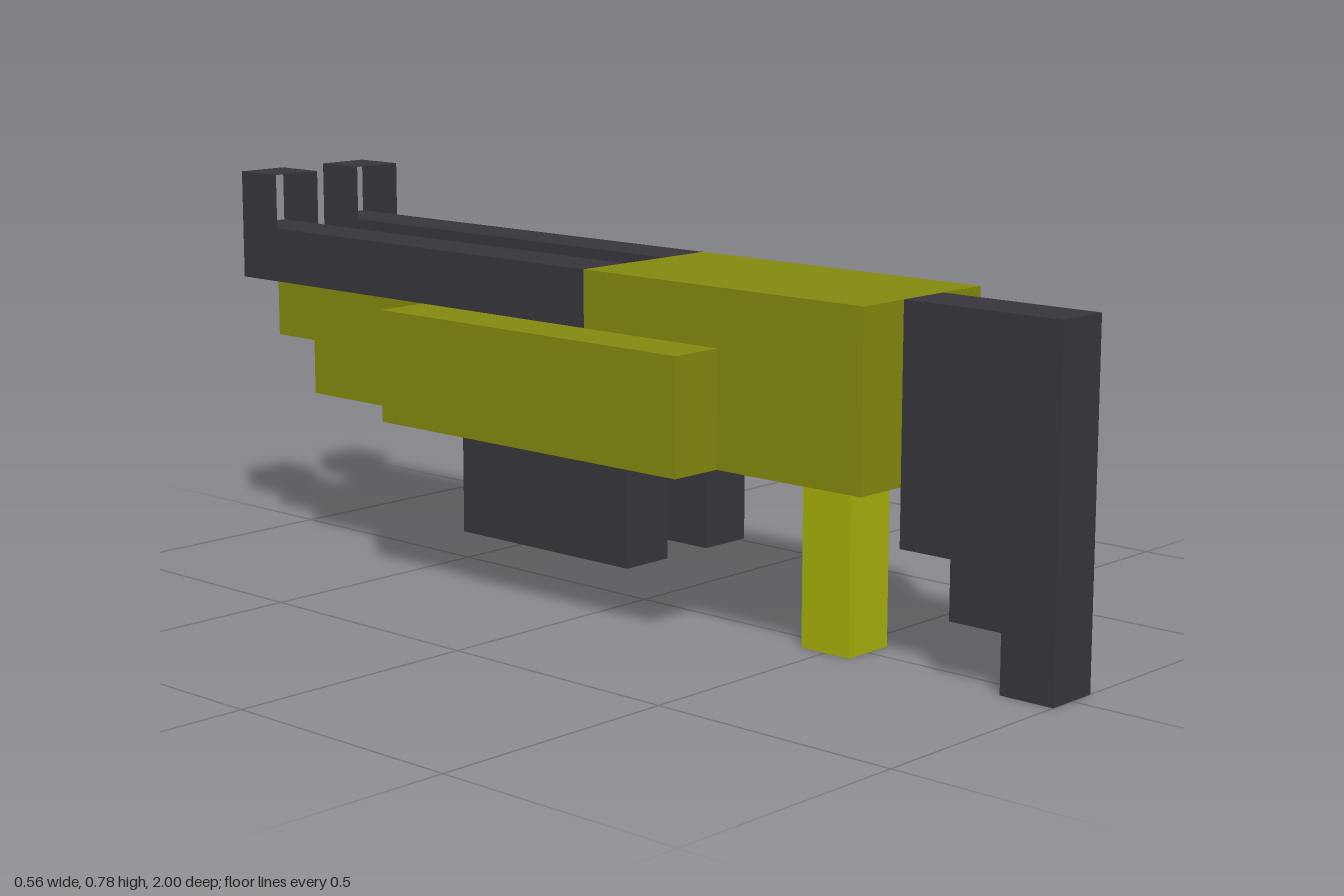
import * as THREE from 'three';

const U = 1 / 9; // one block

const olive = new THREE.MeshStandardMaterial({ color: 0x82880f });
olive.name = 'olive';
const lime = new THREE.MeshStandardMaterial({ color: 0xa5ae0b });
lime.name = 'brightOlive';
const dark = new THREE.MeshStandardMaterial({ color: 0x37353b });
dark.name = 'charcoal';
const darkOpen = dark.clone(); // same charcoal, for the open sights
darkOpen.name = 'charcoalOpen';
darkOpen.side = THREE.DoubleSide;

export function createModel() {
  const model = new THREE.Group();
  model.name = 'blockLauncher';

  const add = (name, geometry, material) => {
    const mesh = new THREE.Mesh(geometry, material);
    mesh.name = name;
    model.add(mesh);
  };

  // Box between block coordinates
  const box = (name, material, x0, x1, y0, y1, z0, z1) => {
    const g = new THREE.BoxGeometry((x1 - x0) * U, (y1 - y0) * U, (z1 - z0) * U);
    g.translate((x0 + x1) / 2 * U, (y0 + y1) / 2 * U, (z0 + z1) / 2 * U);
    add(name, g, material);
  };

  // Side profile of [z, y] block points, extruded across x
  const profile = (name, material, points, width) => {
    const shape = new THREE.Shape(points.map(([z, y]) => new THREE.Vector2(z * U, y * U)));
    const g = new THREE.ExtrudeGeometry(shape, { depth: width * U, bevelEnabled: false });
    g.translate(0, 0, -width * U / 2);
    g.rotateY(-Math.PI / 2);
    add(name, g, material);
  };

  // Stepped stock at the front end
  profile('stock', dark,
    [[9, 0], [9, 6], [6, 6], [6, 2], [7, 2], [7, 1], [8, 1], [8, 0]], 1);

  // Main body with lowered, stepped rear
  profile('body', olive,
    [[6, 3], [6, 6], [0, 6], [0, 5], [-8, 5], [-8, 4], [-7, 4], [-7, 3]], 3);

  // Grip under the body
  box('grip', lime, -0.5, 0.5, 0, 3, 4, 5);

  for (const s of [-1, 1]) {
    const side = s > 0 ? 'left' : 'right';
    const paired = (name, material, inner, outer, ...yz) =>
      box(side + name, material, Math.min(s * inner, s * outer), Math.max(s * inner, s * outer), ...yz);

    paired('SidePod', olive, 1.5, 2.5, 3, 5, -4, 3);
    paired('Rail', dark, 0.5, 1.5, 5, 6, -9, 0);
    paired('Magazine', dark, 0.5, 1.5, 1, 3, -3, 1);

    // Open sight loop: two side walls and a roof
    for (const x of [0.5, 1.5]) {
      const wall = new THREE.PlaneGeometry(U, U);
      wall.rotateY(x > 1 ? s * Math.PI / 2 : -s * Math.PI / 2);
      wall.translate(s * x * U, 6.5 * U, -8.5 * U);
      add(side + 'SightWall', wall, darkOpen);
    }
    const roof = new THREE.PlaneGeometry(U, U);
    roof.rotateX(-Math.PI / 2);
    roof.translate(s * U, 7 * U, -8.5 * U);
    add(side + 'SightRoof', roof, darkOpen);
  }
  return model;
}
